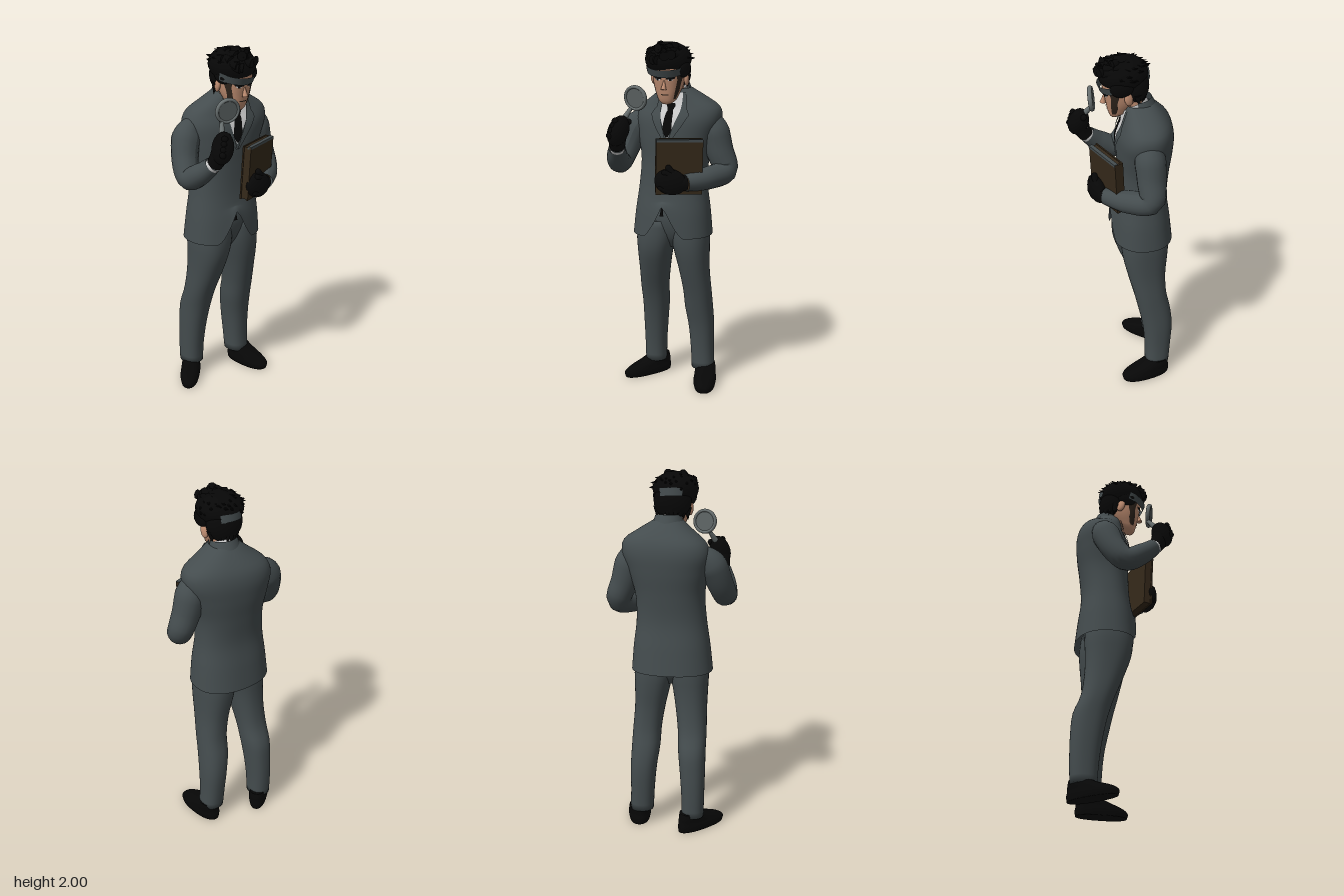
import * as THREE from 'three';

const mat = (name, color) => {
  const m = new THREE.MeshStandardMaterial({ color, side: THREE.DoubleSide });
  m.name = name;
  return m;
};
const TAU = Math.PI * 2, EXP = 2.3;

// Smooth sampler through rings [y, cx, cz, rx, rz, yaw], keyed on height
function sampler(rings) {
  const it = new THREE.CubicInterpolant(rings.map(r => r[0]),
    Float32Array.from(rings.flatMap(r => [r[1], r[2], r[3], r[4], r[5] || 0])), 5);
  return y => [...it.evaluate(y)];
}
const place = (cx, cz, yaw, x, y, z) =>
  [cx + x * Math.cos(yaw) + z * Math.sin(yaw), y, cz - x * Math.sin(yaw) + z * Math.cos(yaw)];

function gridGeometry(pos, rows, cols, wrap) {
  const idx = [], n = wrap ? cols : cols - 1;
  for (let i = 0; i < rows - 1; i++) for (let j = 0; j < n; j++) {
    const a = i * cols + j, b = i * cols + (j + 1) % cols;
    idx.push(a, a + cols, b, b, a + cols, b + cols);
  }
  const g = new THREE.BufferGeometry();
  g.setAttribute('position', new THREE.Float32BufferAttribute(pos, 3));
  g.setIndex(idx);
  g.computeVertexNormals();
  return g;
}

// Closed body lofted through horizontal rings, listed from bottom to top
function loft(rings, { steps = 24, seg = 36, caps = true, move } = {}) {
  const at = sampler(rings), y0 = rings[0][0], y1 = rings[rings.length - 1][0], pos = [];
  const first = caps ? -1 : 0, last = caps ? steps + 1 : steps;
  const sp = v => Math.sign(v) * Math.pow(Math.abs(v), 2 / EXP);
  for (let i = first; i <= last; i++) {
    const y = y0 + (y1 - y0) * THREE.MathUtils.clamp(i / steps, 0, 1);
    const [cx, cz, rx, rz, yaw] = at(y), k = i < 0 || i > steps ? 0.001 : 1;
    for (let j = 0; j < seg; j++) {
      const a = j / seg * TAU;
      const p = place(cx, cz, yaw, sp(Math.cos(a)) * rx * k, y, sp(Math.sin(a)) * rz * k);
      if (move) move(p);
      pos.push(...p);
    }
  }
  return gridGeometry(pos, last - first + 1, seg, true);
}

// Thin panel laid on the front of a loft: rows are [y, x from, x to], bottom to top
function drape(rings, rows, off) {
  const at = sampler(rings), pos = [], cols = 9, n = 14;
  const edge = new THREE.LinearInterpolant(rows.map(r => r[0]), Float32Array.from(rows.flatMap(r => [r[1], r[2]])), 2);
  for (let i = 0; i <= n; i++) {
    const y = THREE.MathUtils.lerp(rows[0][0], rows[rows.length - 1][0], i / n);
    const [cx, cz, rx, rz, yaw] = at(y), [xa, xb] = edge.evaluate(y);
    for (let j = 0; j < cols; j++) {
      const x = xa + (xb - xa) * (1 - j / (cols - 1));
      const z = rz * Math.pow(Math.max(0, 1 - Math.pow(Math.abs(x / rx), EXP)), 1 / EXP) + off;
      pos.push(...place(cx, cz, yaw, x, y, z));
    }
  }
  return gridGeometry(pos, n + 1, cols, false);
}

// Tube along points with evenly spaced radii
function limb(points, radii) {
  const curve = new THREE.CatmullRomCurve3(points.map(p => new THREE.Vector3(...p)));
  const n = 28, m = 18, g = new THREE.TubeGeometry(curve, n, 1, m), P = g.attributes.position, v = new THREE.Vector3();
  for (let i = 0; i <= n; i++) {
    const c = curve.getPointAt(i / n), t = i / n * (radii.length - 1), k = Math.min(Math.floor(t), radii.length - 2);
    const r = THREE.MathUtils.lerp(radii[k], radii[k + 1], t - k);
    for (let j = 0; j <= m; j++) {
      v.fromBufferAttribute(P, i * (m + 1) + j).sub(c).multiplyScalar(r).add(c);
      P.setXYZ(i * (m + 1) + j, v.x, v.y, v.z);
    }
  }
  g.computeVertexNormals();
  return g;
}

export function createModel() {
  const root = new THREE.Group();
  const suit = mat('suit grey', 0x444c4e), black = mat('black', 0x070707), white = mat('shirt white', 0xd2d2d2),
    skin = mat('skin', 0xc08e72), brown = mat('dark brown', 0x35291a), beard = mat('stubble brown', 0x2e241c),
    metal = mat('metal grey', 0x666d6d), glass = mat('lens grey', 0x5c6363);
  const add = (name, geo, material, parent = root, pos = [0, 0, 0], rot = [0, 0, 0], scale = [1, 1, 1]) => {
    const m = new THREE.Mesh(geo, material);
    m.name = name;
    m.position.set(...pos); m.rotation.set(...rot); m.scale.set(...scale);
    parent.add(m);
    return m;
  };
  const group = (name, pos, rot = [0, 0, 0]) => {
    const g = new THREE.Group();
    g.name = name; g.position.set(...pos); g.rotation.set(...rot);
    root.add(g);
    return g;
  };
  const ball = new THREE.SphereGeometry(1, 28, 20);

  // Trousers
  add('leftTrouserLeg', loft([[0.085, 0.157, -0.125, 0.066, 0.07], [0.2, 0.152, -0.13, 0.067, 0.075],
    [0.35, 0.145, -0.128, 0.074, 0.086], [0.47, 0.133, -0.11, 0.08, 0.092], [0.56, 0.128, -0.09, 0.08, 0.092],
    [0.7, 0.112, -0.07, 0.086, 0.107], [0.82, 0.098, -0.064, 0.1, 0.126], [0.9, 0.09, -0.064, 0.109, 0.132], [1.0, 0.085, -0.064, 0.107, 0.125]]), suit);
  add('rightTrouserLeg', loft([[0.085, -0.14, -0.197, 0.062, 0.07], [0.2, -0.14, -0.195, 0.064, 0.076],
    [0.35, -0.136, -0.183, 0.071, 0.086], [0.47, -0.131, -0.163, 0.077, 0.094], [0.56, -0.13, -0.13, 0.08, 0.09],
    [0.7, -0.121, -0.09, 0.088, 0.107], [0.82, -0.113, -0.067, 0.1, 0.126], [0.9, -0.106, -0.064, 0.11, 0.132], [1.0, -0.098, -0.064, 0.107, 0.125]]), suit);
  add('trouserSeat', loft([[0.84, -0.008, -0.068, 0.05, 0.06], [0.9, -0.008, -0.068, 0.11, 0.1],
    [1.0, -0.008, -0.062, 0.17, 0.12], [1.12, -0.008, -0.06, 0.16, 0.11]]), suit);

  // Shoes
  const shoe = loft([[0, 0, 0.03, 0.052, 0.142], [0.03, 0, 0.03, 0.057, 0.145], [0.055, 0, 0.015, 0.054, 0.125],
    [0.08, 0, -0.018, 0.052, 0.09], [0.11, 0, -0.045, 0.046, 0.056]]);
  add('leftShoe', shoe, black, root, [0.178, 0, -0.08], [0, 0.1, 0], [1.15, 1, 1]);
  add('rightShoe', shoe, black, root, [-0.16, 0, -0.18], [0, -0.8, 0], [1, 1, 1.08]);

  // Jacket body, with the front hem cut away
  const torso = [[0.915, -0.012, -0.068, 0.225, 0.17, -0.04], [1.05, -0.01, -0.066, 0.212, 0.157, -0.06],
    [1.2, -0.008, -0.068, 0.193, 0.137, -0.08], [1.35, 0, -0.075, 0.192, 0.14, -0.13],
    [1.48, 0.01, -0.08, 0.222, 0.15, -0.19], [1.58, 0.022, -0.083, 0.243, 0.147, -0.22],
    [1.64, 0.03, -0.083, 0.22, 0.128, -0.22], [1.69, 0.025, -0.07, 0.15, 0.105, -0.18], [1.74, 0.013, -0.05, 0.078, 0.078, -0.15]];
  add('jacket', loft(torso, {
    steps: 40, seg: 72, caps: false, move: p => {
      const t = THREE.MathUtils.clamp((1.12 - p[1]) / 0.2, 0, 1);
      if (p[2] > 0) p[1] += 0.19 * t * Math.pow(Math.max(0, 1 - Math.abs(p[0] + 0.04) / 0.115), 1.4);
    }
  }), suit);
  add('shirtFront', drape(torso, [[1.47, -0.002, 0.002], [1.6, -0.056, 0.056], [1.72, -0.062, 0.062]], 0.005), white);
  add('tie', drape(torso, [[1.48, -0.006, 0.006], [1.52, -0.028, 0.028], [1.61, -0.021, 0.021], [1.625, -0.015, 0.015],
    [1.655, -0.027, 0.027], [1.665, -0.02, 0.02]], 0.011), black);
  add('frontGap', drape(torso, [[1.04, -0.038, -0.016], [1.1, -0.028, -0.022]], 0.001), black);
  for (const s of [1, -1])
    add('lapel', drape(torso, [[1.44, 0, 0.01 * s], [1.55, 0.036 * s, 0.085 * s], [1.61, 0.056 * s, 0.115 * s],
      [1.63, 0.058 * s, 0.09 * s], [1.72, 0.06 * s, 0.074 * s]], 0.01), suit);
  add('jacketCollar', new THREE.CylinderGeometry(0.07, 0.09, 0.06, 28, 1, true, Math.PI * 0.4, Math.PI * 1.2), suit, root, [0.012, 1.735, -0.05], [0.15, 0, 0]);
  add('shirtCollar', new THREE.CylinderGeometry(0.062, 0.068, 0.05, 28, 1, true), white, root, [0.008, 1.728, -0.035], [0.35, 0, 0]);

  // Sleeves
  add('leftSleeve', limb([[0.14, 1.595, -0.045], [0.205, 1.54, -0.046], [0.252, 1.4, -0.046], [0.287, 1.293, -0.035],
    [0.205, 1.262, 0.07], [0.1, 1.25, 0.16]], [0.05, 0.083, 0.076, 0.067, 0.061, 0.046]), suit);
  add('rightSleeve', limb([[-0.15, 1.575, -0.115], [-0.218, 1.525, -0.108], [-0.276, 1.39, -0.06], [-0.298, 1.325, 0.0],
    [-0.293, 1.37, 0.09], [-0.275, 1.43, 0.16]], [0.05, 0.08, 0.072, 0.066, 0.06, 0.046]), suit);
  add('rightCuff', limb([[-0.277, 1.422, 0.152], [-0.274, 1.43, 0.162], [-0.272, 1.438, 0.17]], [0.04, 0.042, 0.041]), white);

  // Gloved hands with curled fingers
  const finger = new THREE.CapsuleGeometry(0.017, 0.05, 5, 10);
  const hand = (name, pos, rot, size) => {
    const g = group(name, pos, rot);
    add('palm', ball, black, g, [0, 0, 0], [0, 0, 0], size);
    for (let i = 0; i < 4; i++)
      add('finger', finger, black, g, [-0.018, 0.042 - i * 0.028, 0.018], [0, 0, Math.PI / 2 - 0.1]);
    return g;
  };
  const lh = hand('leftGlove', [0.025, 1.258, 0.188], [0, 0.15, -0.25], [0.088, 0.07, 0.044]);
  add('thumb', finger, black, lh, [-0.01, 0.058, 0.01], [0, 0, 0.9]);
  add('gloveCuff', limb([[0.1, 1.25, 0.155], [0.08, 1.25, 0.168], [0.04, 1.252, 0.185]], [0.043, 0.042, 0.03]), black);
  const rh = hand('rightGlove', [-0.253, 1.53, 0.214], [0, 0.5, -0.4], [0.056, 0.085, 0.058]);
  add('thumb', finger, black, rh, [0.022, 0.042, 0.01], [0, 0, -0.4]);
  add('gloveCuff', limb([[-0.271, 1.436, 0.169], [-0.266, 1.47, 0.19], [-0.26, 1.5, 0.2]], [0.042, 0.045, 0.048]), black);

  // Book
  const book = group('book', [0.06, 1.335, 0.14], [0.06, 0.3, -0.03]);
  for (const z of [-0.021, 0.021]) add('bookCover', new THREE.BoxGeometry(0.25, 0.3, 0.008), brown, book, [0, 0, z]);
  add('bookSpine', new THREE.BoxGeometry(0.01, 0.3, 0.05), brown, book, [0.122, 0, 0]);
  add('bookPages', new THREE.BoxGeometry(0.236, 0.292, 0.036), brown, book, [-0.002, 0, 0]);
  add('bookTopEdge', new THREE.BoxGeometry(0.25, 0.014, 0.022), suit, book, [0, 0.146, 0.016]);

  // Magnifying glass
  const mag = group('magnifyingGlass', [-0.17, 1.7, 0.16], [0.12, -0.3, 0]);
  add('lensRim', new THREE.TorusGeometry(0.06, 0.009, 12, 40), metal, mag, [0, 0, 0], [0, 0, 0], [1, 1, 1.4]);
  add('lens', new THREE.CylinderGeometry(0.06, 0.06, 0.012, 36), glass, mag, [0, 0, 0], [Math.PI / 2, 0, 0]);
  add('handle', limb([[-0.198, 1.645, 0.147], [-0.215, 1.615, 0.165], [-0.25, 1.55, 0.205]], [0.01, 0.016, 0.018]), metal);

  // Head and face
  add('neck', limb([[0.01, 1.64, -0.06], [0.002, 1.72, -0.03], [-0.008, 1.8, 0.0]], [0.06, 0.056, 0.06]), skin);
  const head = group('head', [-0.012, 1.8, 0.03], [0.14, -0.1, 0]);
  const skull = [[-0.128, 0, 0.062, 0.024, 0.02], [-0.118, 0, 0.052, 0.04, 0.036], [-0.085, 0, 0.03, 0.058, 0.065],
    [-0.04, 0, 0.01, 0.075, 0.088], [0.02, 0, 0, 0.085, 0.102], [0.08, 0, -0.005, 0.088, 0.106], [0.13, 0, -0.01, 0.07, 0.085]];
  add('face', loft(skull), skin, head);
  add('nose', new THREE.ConeGeometry(0.016, 0.06, 12), skin, head, [0, -0.012, 0.104], [-0.3, 0, 0]);
  add('mouth', drape(skull, [[-0.075, -0.02, 0.02], [-0.069, -0.022, 0.022]], 0.003), beard, head);
  for (const s of [1, -1]) {
    add('ear', ball, skin, head, [0.091 * s, -0.008, -0.012], [0.1, 0.3 * s, 0], [0.014, 0.038, 0.023]);
    add('eye', drape(skull, [[0.006, 0.022 * s, 0.046 * s], [0.013, 0.022 * s, 0.05 * s]], 0.003), white, head);
    add('pupil', drape(skull, [[0.005, 0.029 * s, 0.041 * s], [0.015, 0.029 * s, 0.041 * s]], 0.005), black, head);
    add('eyebrow', drape(skull, [[0.014, 0.01 * s, 0.055 * s], [0.028, 0.018 * s, 0.062 * s]], 0.006), black, head);
    add('sideburn', drape(skull, [[-0.1, 0.042 * s, 0.0505 * s], [-0.06, 0.052 * s, 0.067 * s], [0.0, 0.066 * s, 0.081 * s],
      [0.05, 0.066 * s, 0.086 * s]], 0.005), beard, head);
    add('templeHair', ball, black, head, [0.083 * s, 0.058, 0.012], [0, 0, 0], [0.036, 0.05, 0.062]);
  }

  // Headband, showing low over the brow and higher behind
  const band = (name, start, length) => add(name, new THREE.CylinderGeometry(0.117, 0.112, 0.042, 32, 1, true, start, length), suit, root,
    [-0.018, 1.862, 0.024], [0.25, -0.1, 0], [1.02, 1, 1.2]);
  band('headbandFront', -1.25, 2.2);
  band('headbandBack', Math.PI - 0.55, 1.1);

  // Hair: crown, nape and swept locks
  const c = new THREE.Vector3(-0.019, 1.898, 0.028), r = new THREE.Vector3(0.125, 0.09, 0.13);
  add('hairCrown', ball, black, root, c.toArray(), [0.1, 0, 0], r.toArray());
  add('hairNape', ball, black, root, [-0.008, 1.838, -0.027], [0, 0, 0], [0.102, 0.1, 0.078]);
  let seed = 7;
  const rnd = () => (seed = (seed * 16807) % 2147483647) / 2147483647;
  const lockGeo = new THREE.ConeGeometry(0.026, 0.085, 8), up = new THREE.Vector3(0, 1, 0);
  for (let i = 0; i < 44; i++) {
    const a = i * 2.4, e = 0.05 + 1.2 * rnd(), d = new THREE.Vector3(Math.cos(a) * Math.cos(e), Math.sin(e), Math.sin(a) * Math.cos(e));
    const aim = new THREE.Vector3(d.x * 0.5 + 0.8 * (rnd() - 0.5), 0.35 * (rnd() - 0.25), d.z * 0.3 - 0.7);
    add('hairLock', lockGeo, black, root, d.multiply(r).multiplyScalar(0.88).add(c).toArray())
      .quaternion.setFromUnitVectors(up, aim.normalize());
  }
  for (let i = 0; i < 9; i++)
    add('napeLock', lockGeo, black, root, [-0.09 + i * 0.0205, 1.768 + 0.01 * rnd(), -0.085 + 0.0035 * (i - 4) ** 2], [Math.PI + 0.2, 0, 0.2 * (rnd() - 0.5)], [0.9, 0.8, 0.9]);

  return root;
}
